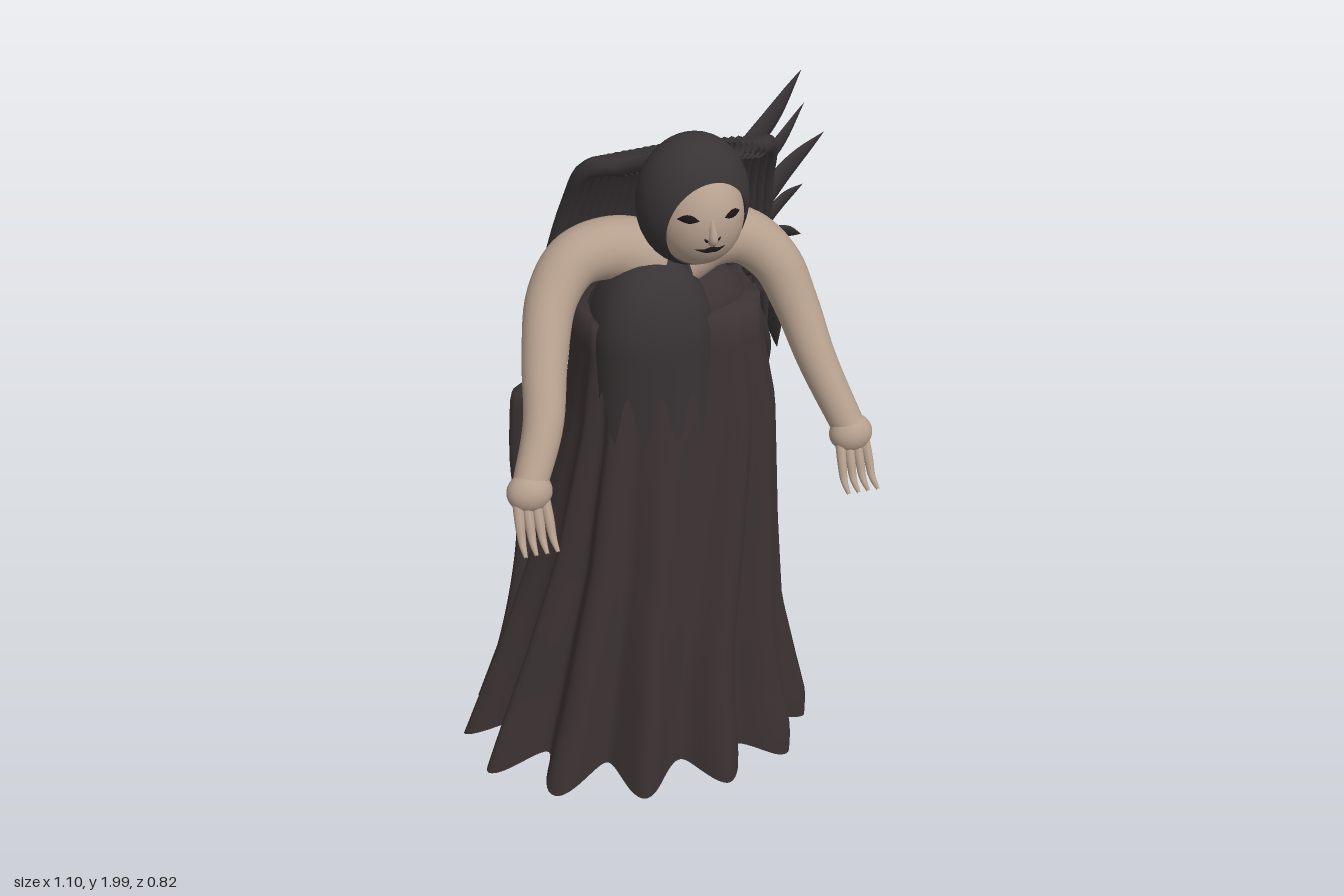
import * as THREE from 'three';

const mat = (name, color, side = THREE.FrontSide) => {
  const m = new THREE.MeshStandardMaterial({ color, side });
  m.name = name;
  return m;
};
const lerp = THREE.MathUtils.lerp;
const V = (p) => new THREE.Vector3(...p);

// Closed-ring surface: fn(t, angle) returns a point, t runs along the length
function loft(fn, rows, cols) {
  const pos = [], idx = [];
  for (let i = 0; i <= rows; i++) {
    for (let j = 0; j < cols; j++) pos.push(...fn(i / rows, (j / cols) * Math.PI * 2));
  }
  for (let i = 0; i < rows; i++) {
    for (let j = 0; j < cols; j++) {
      const a = i * cols + j, b = i * cols + (j + 1) % cols;
      idx.push(a, b, a + cols, b, b + cols, a + cols);
    }
  }
  const g = new THREE.BufferGeometry();
  g.setAttribute('position', new THREE.Float32BufferAttribute(pos, 3));
  g.setIndex(idx);
  g.computeVertexNormals();
  return g;
}

// Tapered tube along a curve; `side` is the wide direction, `flat` thins the other
function sweep(points, radius, { side = [1, 0, 0], flat = 1, rows = 16, cols = 10 } = {}) {
  const curve = new THREE.CatmullRomCurve3(points.map(V));
  return loft((t, a) => {
    const T = curve.getTangent(t);
    const N = V(side).addScaledVector(T, -T.dot(V(side))).normalize();
    const B = T.clone().cross(N);
    const r = radius(t);
    return curve.getPoint(t).addScaledVector(N, r * Math.cos(a))
      .addScaledVector(B, r * flat * Math.sin(a)).toArray();
  }, rows, cols);
}

export function createModel() {
  const root = new THREE.Group();
  root.name = 'robedFigure';
  const skin = mat('skin', 0xb59f8d);
  const cloth = mat('cloth', 0x3b3233, THREE.DoubleSide);
  const hair = mat('hair', 0x383334, THREE.DoubleSide);
  const dark = mat('features', 0x1c1617);

  const add = (name, geometry, material, parent = root) => {
    const m = new THREE.Mesh(geometry, material);
    m.name = name;
    parent.add(m);
    return m;
  };
  const group = (name) => {
    const g = new THREE.Group();
    g.name = name;
    root.add(g);
    return g;
  };
  const ball = (name, c, r, material, parent) => {
    const m = add(name, new THREE.SphereGeometry(1, 36, 24), material, parent);
    m.position.set(...c);
    m.scale.set(...r);
    return m;
  };

  // Pleated skirt: outline rows are y, xMin, xMax, zMin, zMax
  const outline = [
    [1.52, -0.19, 0.25, -0.20, 0.11], [1.20, -0.235, 0.315, -0.23, 0.14],
    [0.80, -0.325, 0.345, -0.295, 0.175], [0.50, -0.425, 0.375, -0.345, 0.205],
    [0.10, -0.57, 0.475, -0.42, 0.24],
  ];
  const outlineAt = (y) => {
    let k = 0;
    while (k < 3 && y < outline[k + 1][0]) k++;
    const [a, b] = [outline[k], outline[k + 1]];
    const f = Math.min(1, (a[0] - y) / (a[0] - b[0]));
    return a.map((v, n) => lerp(v, b[n], f));
  };
  const power = (v, p) => Math.sign(v) * Math.abs(v) ** p;
  add('skirt', loft((t, a) => {
    const pleat = Math.cos(13 * (a - 0.175 - 0.07 * (1 - Math.cos(a))));
    const fine = Math.cos(29 * a + 1.3);
    const hem = 0.115 - 0.06 * Math.cos(a) - 0.02 * Math.sin(a) - 0.035 * pleat - 0.012 * Math.sin(3 * a);
    const y = lerp(1.52, hem, t);
    const [, x0, x1, z0, z1] = outlineAt(y);
    const amp = lerp(0.012, 0.1, t);
    // The first ring closes the waist; the section eases from boxy to oval
    const r = t === 0 ? 0 : 1 - amp * (1 - pleat) - amp * 0.1 * (1 - fine);
    const p = lerp(0.55, 1, Math.min(1, t * 1.2));
    return [(x0 + x1) / 2 + (x1 - x0) / 2 * r * power(Math.cos(a), p), t < 0.05 ? 1.52 : y,
      (z0 + z1) / 2 + (z1 - z0) / 2 * r * power(Math.sin(a), p)];
  }, 30, 260), cloth);

  // Side drape hanging at the right hip
  add('sideDrape', sweep([[-0.27, 1.27, -0.13], [-0.29, 1.05, -0.13], [-0.29, 0.8, -0.13],
    [-0.36, 0.45, -0.13], [-0.45, 0.2, -0.13]],
  (t) => (0.09 - 0.03 * t) * Math.min(1, 0.55 + 12 * t), { flat: 0.4, rows: 30, cols: 14 }), cloth);

  // Bodice and the rounded bib with its ragged hem
  ball('bodice', [0.03, 1.5, -0.035], [0.205, 0.115, 0.13], cloth);
  add('bib', loft((t, a) => {
    const hem = 1.27 + 0.07 * Math.cos(11 * a + 0.6);
    const u = Math.min(1, t / 0.6);
    const k = Math.sin(u * Math.PI / 2);
    const y = u < 1 ? 1.67 - 0.22 * (1 - Math.cos(u * Math.PI / 2)) : lerp(1.45, hem, (t - 0.6) / 0.4);
    return [-0.03 + 0.155 * k * Math.cos(a), y, 0.02 + 0.135 * k * power(Math.sin(a), 0.7)];
  }, 30, 88), hair);

  // Arms, wrists and fingers
  const arms = [
    ['rightArm', [[0.0, 1.64, -0.02], [-0.11, 1.675, -0.03], [-0.21, 1.665, -0.015],
      [-0.28, 1.6, 0.03], [-0.325, 1.49, 0.115], [-0.36, 1.36, 0.215], [-0.42, 1.24, 0.295]],
    [-0.42, 1.235, 0.3]],
    ['leftArm', [[0.05, 1.64, -0.02], [0.14, 1.67, -0.03], [0.225, 1.66, -0.02],
      [0.295, 1.6, 0.02], [0.335, 1.5, 0.07], [0.37, 1.37, 0.145], [0.43, 1.21, 0.235]],
    [0.432, 1.2, 0.24]],
  ];
  for (const [name, path, wrist] of arms) {
    const g = group(name);
    add('arm', sweep(path, (t) => 0.085 - 0.043 * t, { side: [0, 0, 1], rows: 40, cols: 22 }), skin, g);
    ball('wrist', wrist, [0.056, 0.05, 0.045], skin, g);
    const [x, y, z] = wrist;
    for (let i = 0; i < 4; i++) {
      const dx = (i - 1.5) * 0.024;
      add('finger', sweep([[x + dx * 0.9, y - 0.01, z + 0.01], [x + dx, y - 0.06, z + 0.04],
        [x + dx * 1.05, y - 0.1, z + 0.065], [x + dx * 1.1, y - 0.115, z + 0.105]],
      (t) => 0.0135 - 0.009 * t * t, { cols: 8 }), skin, g);
    }
  }

  // Head: an open hood, its opening tipped downward, framing the face
  const head = group('head');
  const hood = add('hood', new THREE.SphereGeometry(1, 40, 28, 0, Math.PI * 2, 0.83, Math.PI - 0.83)
    .rotateX(Math.PI / 2 + 0.31).rotateY(0.12), hair, head);
  hood.position.set(0.055, 1.835, 0.083);
  hood.scale.set(0.138, 0.165, 0.114);
  const fc = [0.07, 1.796, 0.088], fr = [0.108, 0.124, 0.104];
  ball('face', fc, fr, skin, head);
  const faceZ = (x, y) => fc[2] + fr[2]
    * Math.sqrt(Math.max(0, 1 - ((x - fc[0]) / fr[0]) ** 2 - ((y - fc[1]) / fr[1]) ** 2));
  // Thin strips that follow the face
  const strip = (name, pts, r) => add(name, sweep(pts.map(([x, y]) => [x, y, faceZ(x, y)]),
    (t) => r * Math.sin(Math.PI * t) + 0.0005, { side: [0, 1, 0], flat: 0.35, cols: 8 }), dark, head);
  for (const s of [-1, 1]) {
    const x = 0.07 + s * 0.054;
    strip('eye', [[x - 0.023, 1.826], [x, 1.829], [x + 0.023, 1.826]], 0.011);
    strip('nostril', [[0.07 + s * 0.02, 1.782], [0.07 + s * 0.014, 1.774], [0.07 + s * 0.008, 1.773]], 0.003);
  }
  strip('mouth', [[0.03, 1.751], [0.055, 1.747], [0.07, 1.75], [0.085, 1.747], [0.105, 1.752]], 0.008);
  add('nose', sweep([[0.07, 1.835, 0.18], [0.07, 1.8, 0.192], [0.07, 1.778, 0.197], [0.07, 1.768, 0.184]],
    (t) => 0.005 + 0.01 * t * (1.6 - t), { cols: 10 }), skin, head);

  // Long ridged hair fanning down the back
  const back = group('backHair');
  const count = 25;
  for (let i = 0; i < count; i++) {
    const f = i / (count - 1), edge = Math.abs(2 * f - 1);
    const end = 1.44 - 0.23 * edge ** 2 + 0.025 * Math.sin(i * 2.4);
    add('strand', sweep([
      [lerp(-0.09, 0.24, f), 1.92 - 0.01 * edge, 0.02], [lerp(-0.165, 0.29, f), 1.905 - 0.015 * edge, -0.035],
      [lerp(-0.2, 0.31, f), 1.77, -0.1], [lerp(-0.25, 0.33, f), 1.54, -0.15],
      [lerp(-0.3, 0.35, f), end, -0.165],
    ], (t) => 0.02 * Math.min(1, 4.2 * (1 - t) + 0.05), { flat: 1.2, rows: 20, cols: 8 }), hair, back);
  }

  // Blade-like locks sweeping out on the left side: base, bend, tip, width
  const blades = [
    [[0.2, 1.8, -0.1], [0.34, 1.88, -0.18], [0.475, 1.95, -0.31], 0.04],
    [[0.22, 1.76, -0.08], [0.34, 1.83, -0.13], [0.45, 1.9, -0.22], 0.03],
    [[0.24, 1.61, -0.1], [0.39, 1.72, -0.2], [0.55, 1.765, -0.32], 0.04],
    [[0.26, 1.58, -0.1], [0.37, 1.66, -0.16], [0.46, 1.67, -0.23], 0.03],
    [[0.26, 1.54, -0.12], [0.36, 1.57, -0.17], [0.47, 1.515, -0.25], 0.035],
    [[0.26, 1.5, -0.12], [0.4, 1.49, -0.17], [0.48, 1.345, -0.25], 0.04],
    [[0.28, 1.45, -0.14], [0.37, 1.34, -0.2], [0.44, 1.14, -0.31], 0.032],
    [[0.28, 1.42, -0.12], [0.32, 1.28, -0.13], [0.35, 1.14, -0.17], 0.03],
  ];
  const locks = group('sideLocks');
  for (const [a, b, c, w] of blades) {
    add('lock', sweep([a, b, c], (t) => w * Math.sin(Math.PI * (0.22 + 0.78 * t)) + 0.0008,
      { side: [a[1] - c[1], c[0] - a[0], 0.15], flat: 0.35, cols: 8 }), hair, locks);
  }
  return root;
}
